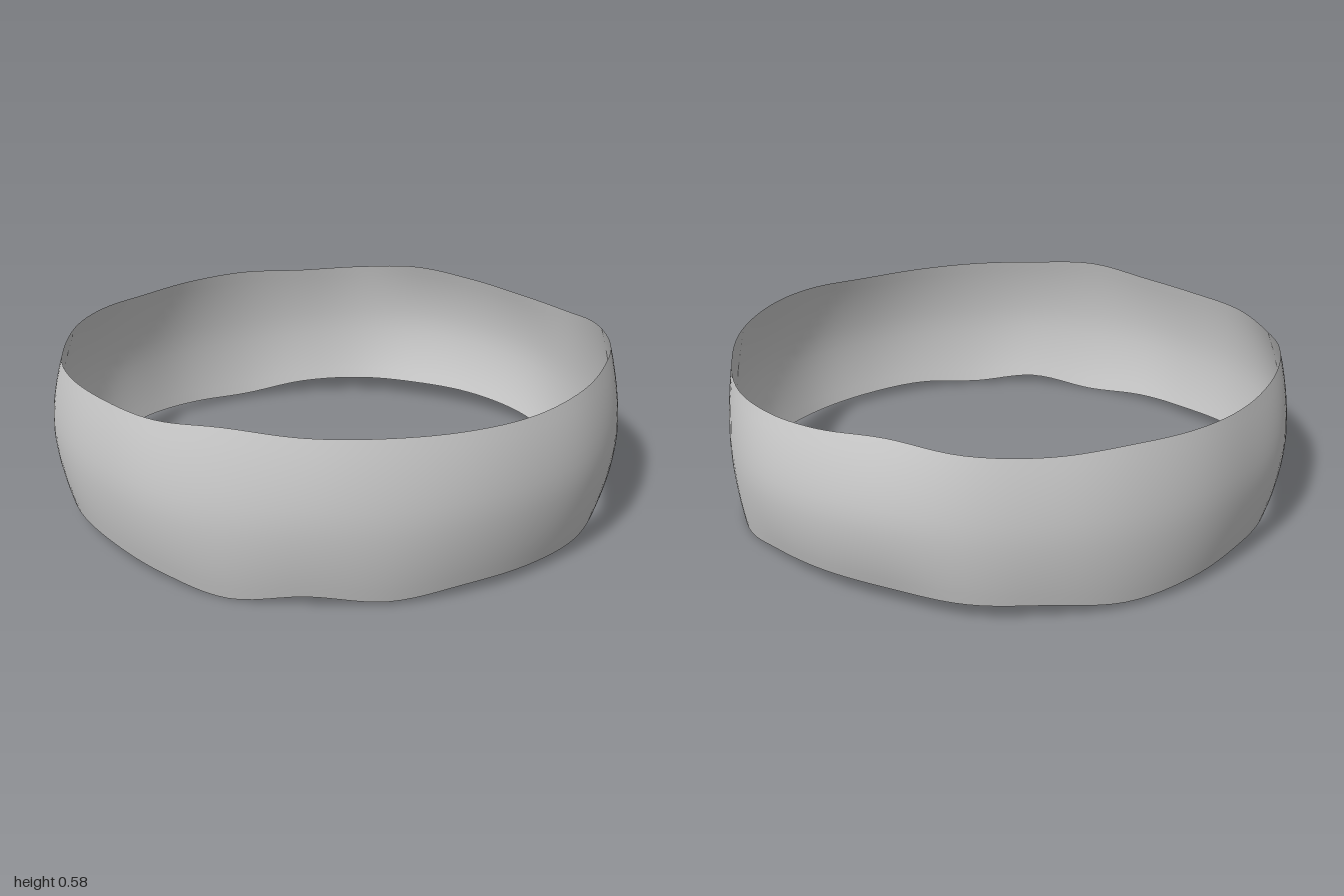
import * as THREE from 'three';

// Samples every 15 degrees, starting at the front (+z) and turning toward +x
const TOP = [.572, .56, .555, .55, .55, .568, .58, .575, .57, .542, .545, .565,
  .588, .57, .56, .57, .565, .56, .57, .57, .545, .55, .545, .548];
const BOTTOM = [.008, .043, .02, .04, .04, .04, .05, .04, .025, .01, .05, .07,
  .075, .07, .06, .03, .04, .05, .04, .04, .06, .06, .045, .03];
const BELLY = [.998, .99, .985, .984, .988, 1, 1, .992, .984, .994, 1, 1,
  1, 1, .987, .987, .987, .984, 1, .998, 1.01, .995, .978, .99];
const EDGE = [.953, .95, .947, .947, .95, .957, .95, .955, .955, .965, .955, .95,
  .945, .965, .955, .955, .955, .95, .953, .957, .965, .96, .942, .947];

// Smooth closed interpolation through the samples, t in 0..1
function sample(list, t) {
  const n = list.length, f = t * n, i = Math.floor(f), u = f - i;
  const [a, b, c, d] = [-1, 0, 1, 2].map(k => list[(i + k + n) % n]);
  return b + 0.5 * u * (c - a + u * (2 * a - 5 * b + 4 * c - d + u * (3 * (b - c) + d - a)));
}

// Thin open band: bulging in the middle, with gently wavy rims
function bandGeometry(around = 144, rows = 12) {
  const geo = new THREE.CylinderGeometry(1, 1, 1, around, rows, true);
  const pos = geo.attributes.position, uv = geo.attributes.uv;
  for (let i = 0; i < pos.count; i++) {
    const t = uv.getX(i) % 1, v = uv.getY(i);
    const angle = t * Math.PI * 2;
    const bottom = sample(BOTTOM, t), top = sample(TOP, t);
    const bulge = 1 - Math.pow(Math.abs(2 * v - 1), 1.8);
    const r = THREE.MathUtils.lerp(sample(EDGE, t), sample(BELLY, t), bulge);
    pos.setXYZ(i, r * Math.sin(angle), THREE.MathUtils.lerp(bottom, top, v), r * Math.cos(angle));
  }
  geo.computeVertexNormals();
  // Match the normals on both sides of the seam
  const n = geo.attributes.normal;
  for (let row = 0; row <= rows; row++) {
    const a = row * (around + 1), b = a + around;
    const m = new THREE.Vector3().fromBufferAttribute(n, a)
      .add(new THREE.Vector3().fromBufferAttribute(n, b)).normalize();
    n.setXYZ(a, m.x, m.y, m.z);
    n.setXYZ(b, m.x, m.y, m.z);
  }
  return geo;
}

export function createModel() {
  const group = new THREE.Group();
  group.name = 'wavyRing';
  const band = new THREE.Mesh(bandGeometry(),
    new THREE.MeshStandardMaterial({ color: 0xcccccc, side: THREE.DoubleSide }));
  band.name = 'band';
  group.add(band);
  return group;
}
